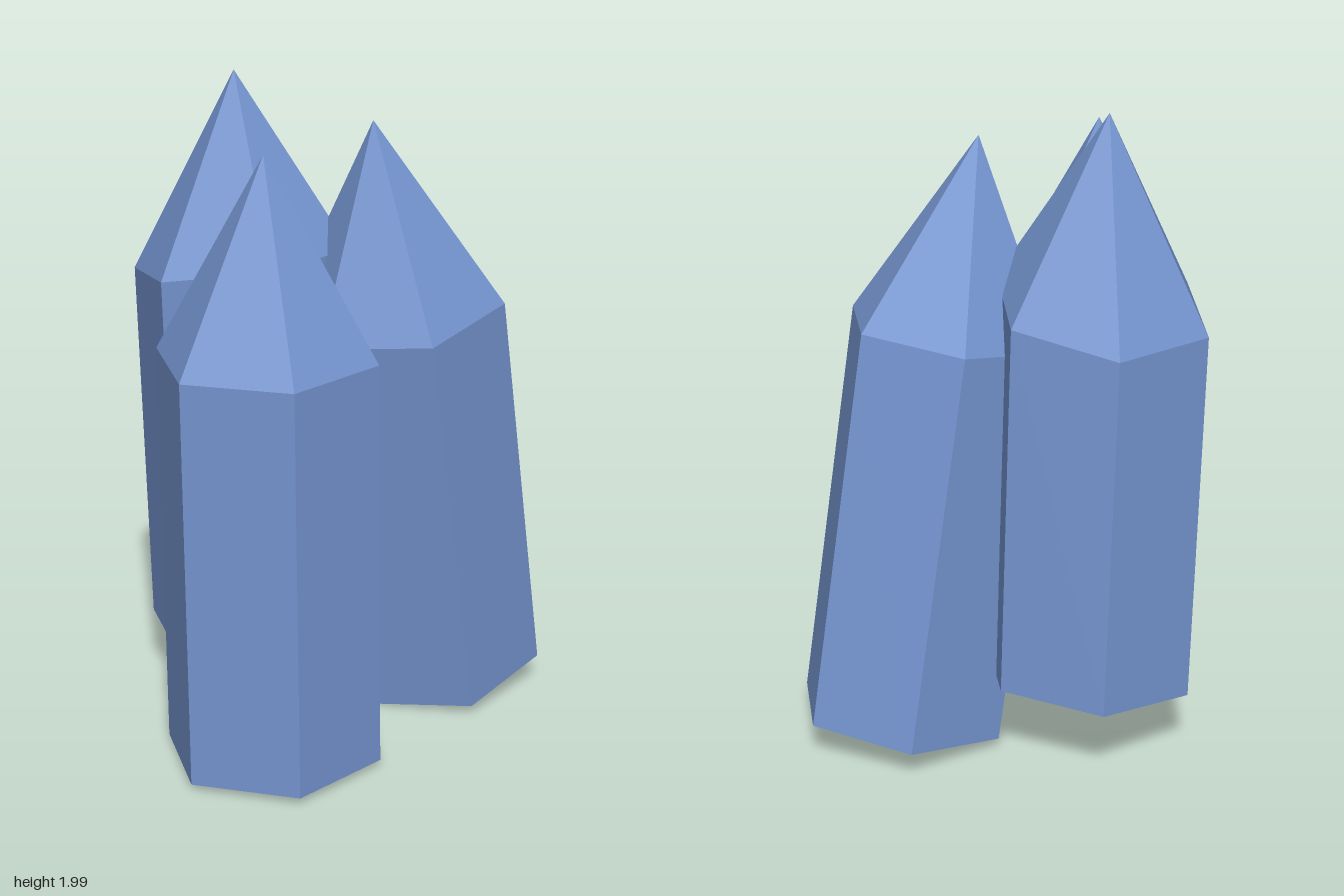
import * as THREE from 'three';

const SIDES = 6;
const blue = new THREE.MeshStandardMaterial({ color: 0x7595d0, flatShading: true, side: THREE.DoubleSide });
const grey = new THREE.MeshStandardMaterial({ color: 0xcccccc, flatShading: true, side: THREE.DoubleSide });

// Hexagonal ring on a plane that rises by slopeX and slopeZ
function ring({ at, radius, slope = [0, 0], turn = 0 }) {
  const squash = 1 / Math.hypot(1, slope[0]);
  return Array.from({ length: SIDES }, (_, i) => {
    const a = turn + (i / SIDES) * Math.PI * 2;
    const x = Math.cos(a) * radius * squash, z = Math.sin(a) * radius;
    return new THREE.Vector3(at[0] + x, at[1] + x * slope[0] + z * slope[1], at[2] + z);
  });
}

function meshOf(name, points, material) {
  const geometry = new THREE.BufferGeometry().setFromPoints(points);
  geometry.computeVertexNormals();
  const mesh = new THREE.Mesh(geometry, material);
  mesh.name = name;
  return mesh;
}

function crystal({ name, base, shoulder, tip, radius, baseSlope, shoulderSlope, turn }) {
  const group = new THREE.Group();
  group.name = name;
  const up = new THREE.Vector3(...shoulder).sub(new THREE.Vector3(...base)).setLength(0.085);
  const recess = new THREE.Vector3(...base).add(up);
  const rings = [
    ring({ at: recess.toArray(), radius: radius * 0.94, slope: baseSlope, turn }),
    ring({ at: base, radius, slope: baseSlope, turn }),
    ring({ at: shoulder, radius, slope: shoulderSlope, turn }),
  ];
  const apex = new THREE.Vector3(...tip);
  const shell = [], floor = [];
  for (let i = 0; i < SIDES; i++) {
    const j = (i + 1) % SIDES;
    // recessed lip and outer walls
    for (let r = 0; r < 2; r++) {
      const low = rings[r], high = rings[r + 1];
      shell.push(low[i], high[i], high[j], low[i], high[j], low[j]);
    }
    // pointed top
    shell.push(rings[2][i], apex, rings[2][j]);
    // recessed underside
    floor.push(recess, rings[0][i], rings[0][j]);
  }
  group.add(meshOf(name + 'Shell', shell, blue), meshOf(name + 'Underside', floor, grey));
  return group;
}

export function createModel() {
  const model = new THREE.Group();
  model.name = 'crystalCluster';
  model.add(
    // upright crystal
    crystal({
      name: 'uprightCrystal', radius: 0.332, turn: 0.052,
      base: [-0.38, 0.025, 0.19], shoulder: [-0.385, 1.27, 0.175], tip: [-0.385, 1.86, 0.167],
      baseSlope: [0.004, 0.012], shoulderSlope: [0.004, 0.012],
    }),
    // leaning crystal
    crystal({
      name: 'leaningCrystal', radius: 0.334, turn: 0,
      base: [0.383, 0.063, 0.18], shoulder: [0.166, 1.294, 0.18], tip: [0.062, 1.88, 0.18],
      baseSlope: [0.176, 0], shoulderSlope: [0.176, 0],
    }),
    // tall back crystal with skewed ends
    crystal({
      name: 'backCrystal', radius: 0.334, turn: 0,
      base: [-0.05, 0.228, -0.207], shoulder: [-0.097, 1.42, -0.205], tip: [-0.12, 2, -0.205],
      baseSlope: [0.112, 0], shoulderSlope: [0, 0.18],
    }),
  );
  return model;
}
